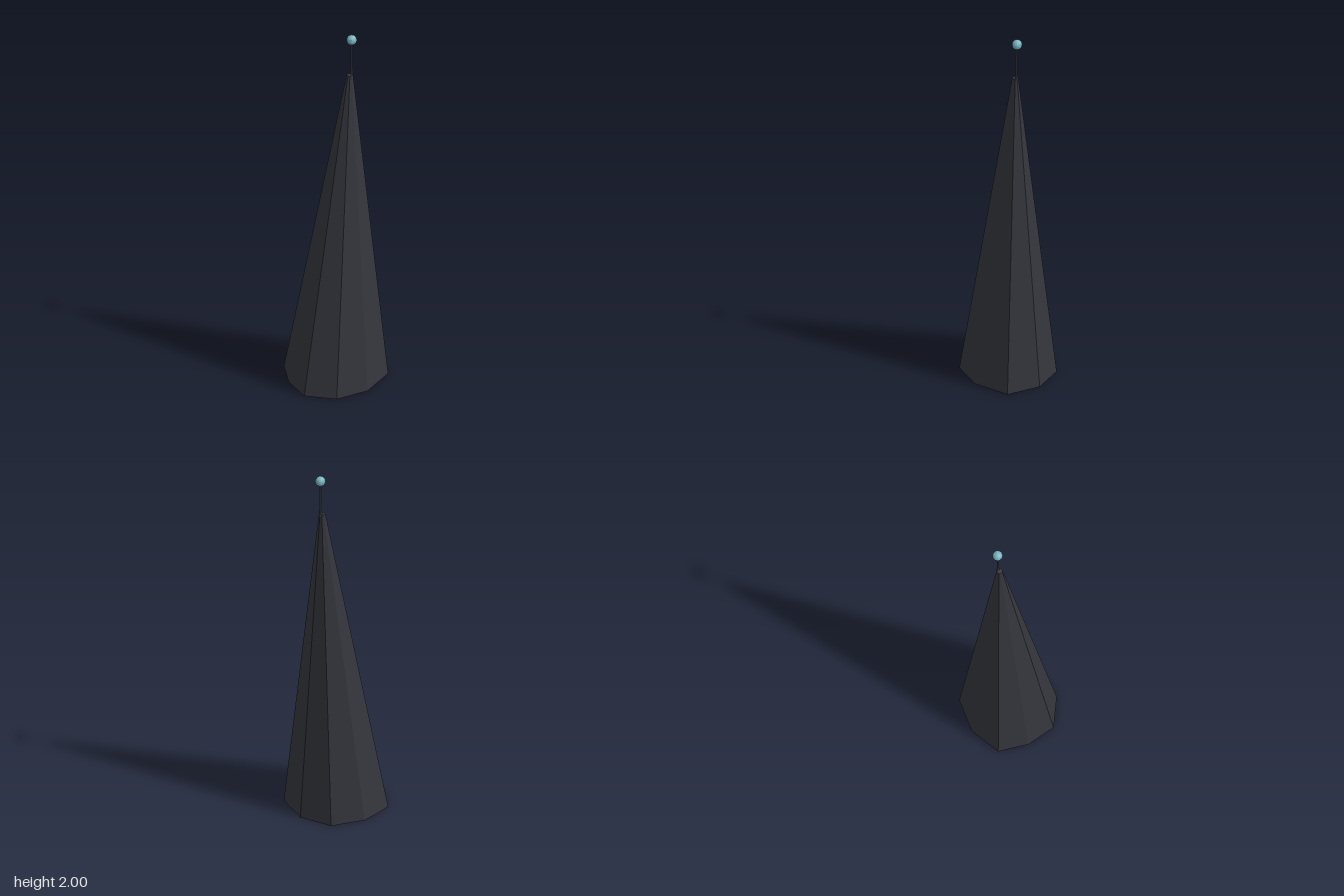
import * as THREE from 'three';

// Uneven nine-sided footprint, [x, z]
const BASE = [
  [-0.022, -0.237], [0.153, -0.193], [0.246, -0.043], [0.235, 0.139], [0.058, 0.234],
  [-0.119, 0.226], [-0.247, 0.115], [-0.247, -0.043], [-0.19, -0.191],
];
const TIP = { x: 0.083, y: 1.77, z: 0.01 };
const TIP_SCALE = 0.062;

// Leaning spire: footprint shrunk to an off-centre tip, both ends capped
function spireGeometry() {
  const low = BASE.map(([x, z]) => [x, 0, z]);
  const high = BASE.map(([x, z]) => [TIP.x + x * TIP_SCALE, TIP.y, TIP.z + z * TIP_SCALE]);
  const pos = [];
  const n = BASE.length;
  for (let i = 0; i < n; i++) {
    const j = (i + 1) % n;
    pos.push(...low[i], ...high[i], ...high[j], ...low[i], ...high[j], ...low[j]);
    pos.push(0, 0, 0, ...low[i], ...low[j]);
    pos.push(TIP.x, TIP.y, TIP.z, ...high[j], ...high[i]);
  }
  const geo = new THREE.BufferGeometry();
  geo.setAttribute('position', new THREE.Float32BufferAttribute(pos, 3));
  geo.computeVertexNormals();
  return geo;
}

export function createModel() {
  const group = new THREE.Group();
  const dark = new THREE.MeshStandardMaterial({ color: 0x34363c, flatShading: true });
  const metal = new THREE.MeshStandardMaterial({ color: 0x4a5056, flatShading: true });
  const teal = new THREE.MeshStandardMaterial({ color: 0x78b4c0, flatShading: true });

  const add = (name, geo, mat, x = 0, y = 0, z = 0) => {
    const mesh = new THREE.Mesh(geo, mat);
    mesh.name = name;
    mesh.position.set(x, y, z);
    group.add(mesh);
  };

  add('spire', spireGeometry(), dark);

  // Thin mast with a thicker foot
  add('mast', new THREE.CylinderGeometry(0.004, 0.006, 0.21, 6), metal, 0.094, 1.855, 0.009);
  add('mastFoot', new THREE.CylinderGeometry(0.005, 0.008, 0.06, 6), metal, 0.094, 1.79, 0.009);

  // Beacon ball
  add('beacon', new THREE.SphereGeometry(0.027, 12, 8), teal, 0.096, 1.973, 0.007);

  return group;
}
